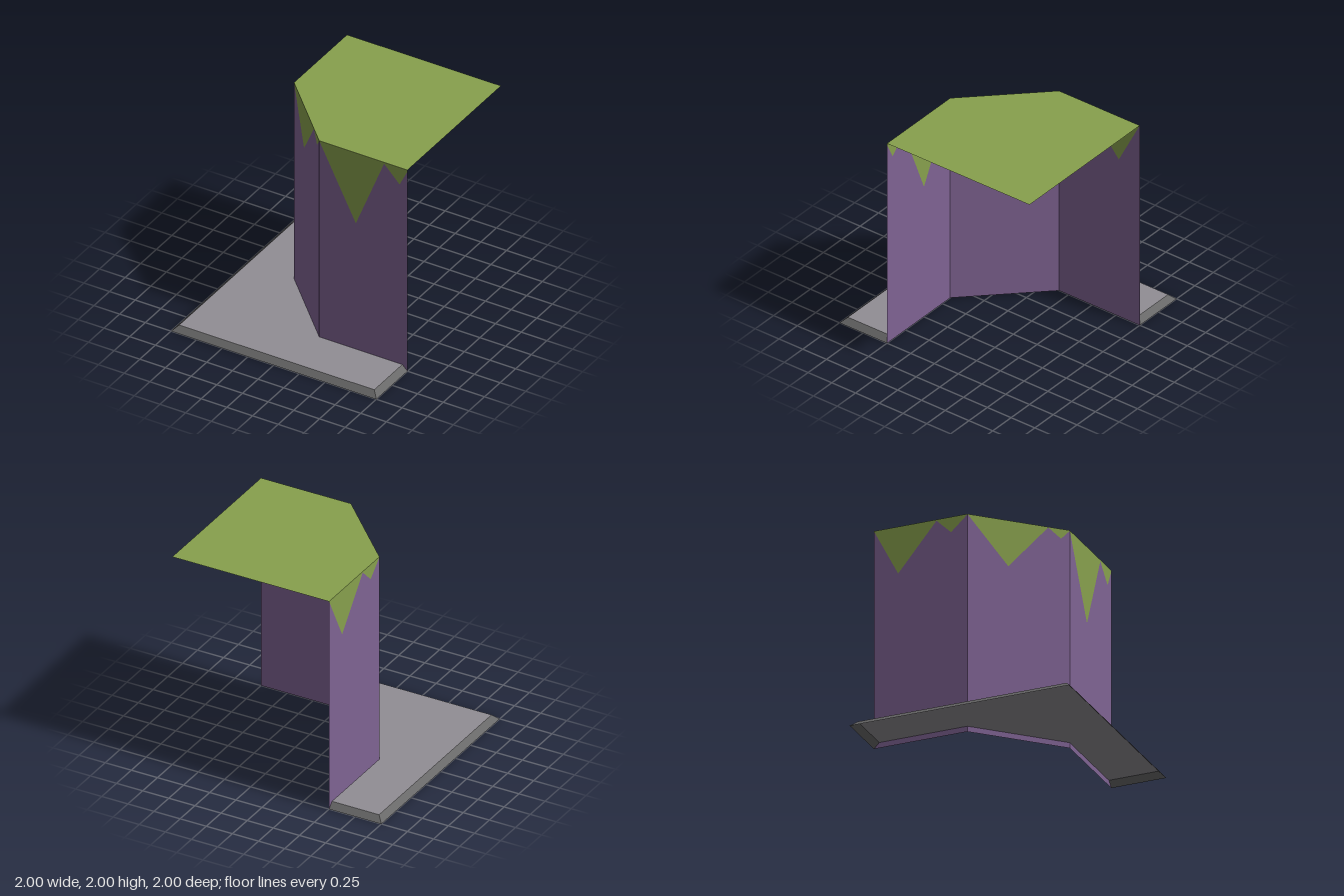
import * as THREE from 'three';

const material = (name, color) =>
  new THREE.MeshStandardMaterial({ name, color, side: THREE.DoubleSide });

const flatShape = (points) =>
  new THREE.ShapeGeometry(new THREE.Shape(points.map(([x, y]) => new THREE.Vector2(x, y))));

// Horizontal polygon from [x, z] points, facing up at height y
function horizontal(points, y) {
  return flatShape(points.map(([x, z]) => [x, -z]))
    .rotateX(-Math.PI / 2)
    .translate(0, y, 0);
}

export function createModel() {
  const rock = material('purple rock', 0x7f6393);
  const grass = material('grass green', 0x87a04d);
  const paving = material('paving grey', 0x918e94);
  const kerbGrey = material('kerb grey', 0x686868);

  const model = new THREE.Group();
  model.name = 'cliffCorner';
  const add = (parent, name, geometry, mat) => {
    const mesh = new THREE.Mesh(geometry, mat);
    mesh.name = name;
    parent.add(mesh);
  };

  // Cliff outline, running from the back left round to the front right
  const H = 2;
  const outline = [[-0.5, -1], [-0.5, -0.15], [0.14, 0.5], [1, 0.5]];

  // Grass edge on each wall: [fraction along wall, height]
  const walls = [
    { name: 'leftWall', edge: [[0, 2], [0.26, 1.57], [0.67, 1.99], [0.825, 1.86], [1, 1.995]] },
    { name: 'diagonalWall', edge: [[0, 2], [0.4, 1.58], [0.79, 1.995], [0.915, 1.91], [1, 1.995]] },
    { name: 'frontWall', edge: [[0, 2], [0.415, 1.3], [0.735, 1.985], [0.91, 1.83], [1, 1.985]] },
  ];

  // Walls: rock below the jagged edge, hanging grass above it
  walls.forEach(({ name, edge }, i) => {
    const [ax, az] = outline[i];
    const [bx, bz] = outline[i + 1];
    const length = Math.hypot(bx - ax, bz - az);
    const jagged = edge.map(([t, y]) => [t * length, y]);
    const wall = new THREE.Group();
    wall.name = name;
    wall.position.set(ax, 0, az);
    wall.rotation.y = Math.atan2(az - bz, bx - ax);
    add(wall, name + 'Rock', flatShape([[0, 0], [length, 0], ...[...jagged].reverse()]), rock);
    add(wall, name + 'Grass', flatShape([...jagged, [length, H]]), grass);
    model.add(wall);
  });

  // Grass top
  add(model, 'grassTop', horizontal([...outline, [1, -1]], H), grass);

  // Paving around the foot of the cliff
  const rise = 0.05;
  const inner = [[-0.5, -0.95], [-0.95, -0.95], [-0.95, 0.95], [0.95, 0.95], [0.95, 0.5]];
  const outer = [[-0.5, -1], [-1, -1], [-1, 1], [1, 1], [1, 0.5]];
  add(model, 'paving', horizontal([...inner, outline[2], outline[1]], rise), paving);

  // Sloped kerb along the outer edges of the paving
  const corners = [];
  for (let i = 0; i < outer.length - 1; i++) {
    const a = [outer[i][0], 0, outer[i][1]];
    const b = [outer[i + 1][0], 0, outer[i + 1][1]];
    const c = [inner[i + 1][0], rise, inner[i + 1][1]];
    const d = [inner[i][0], rise, inner[i][1]];
    corners.push(...a, ...b, ...c, ...a, ...c, ...d);
  }
  const kerb = new THREE.BufferGeometry();
  kerb.setAttribute('position', new THREE.Float32BufferAttribute(corners, 3));
  kerb.computeVertexNormals();
  add(model, 'kerb', kerb, kerbGrey);

  return model;
}
